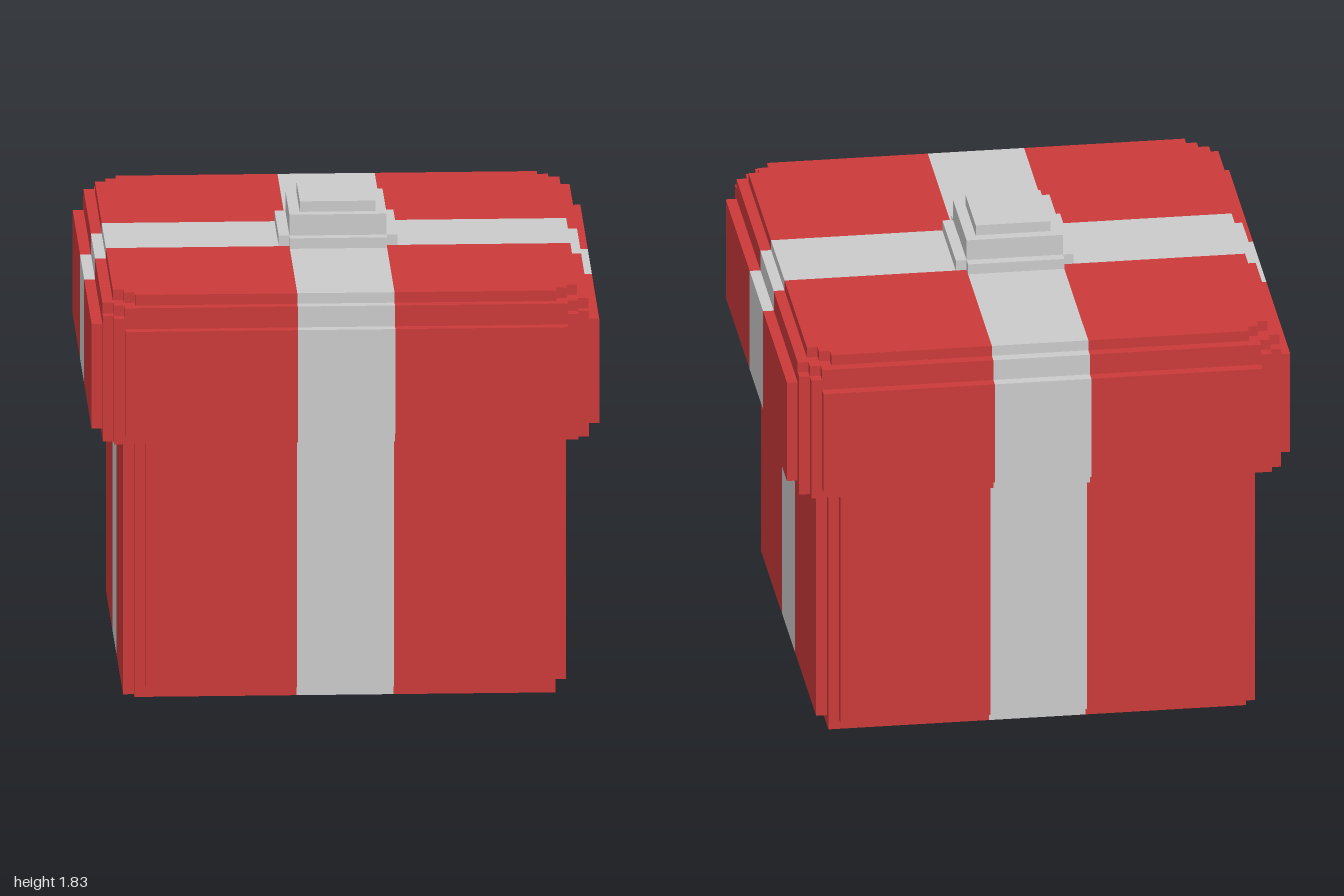
import * as THREE from 'three';

const U = 2 / 47; // one block
const R = 4.5;    // half the ribbon width, in blocks

const red = new THREE.MeshStandardMaterial({ color: 0xca3939 });
red.name = 'red paper';
const silver = new THREE.MeshStandardMaterial({ color: 0xcacaca });
silver.name = 'pale ribbon';

// Upright prism from a plan outline of [x, z] points, in blocks
function prism(name, points, y0, y1, material) {
  const shape = new THREE.Shape(points.map(([x, z]) => new THREE.Vector2(x * U, -z * U)));
  const geometry = new THREE.ExtrudeGeometry(shape, { depth: (y1 - y0) * U, bevelEnabled: false });
  geometry.rotateX(-Math.PI / 2).translate(0, y0 * U, 0);
  const mesh = new THREE.Mesh(geometry, material);
  mesh.name = name;
  return mesh;
}

const rect = (x0, x1, z0, z1) => [[x0, z0], [x1, z0], [x1, z1], [x0, z1]];

// Plus-shaped outline: arms reach a, half width b
const cross = (a, b) => [
  [a, -b], [a, b], [b, b], [b, a], [-b, a], [-b, b],
  [-a, b], [-a, -b], [-b, -b], [-b, -a], [b, -a], [b, -b],
];

// One layer: four red quarters with stepped corners and a ribbon cross between
function addLayer(group, name, y0, y1, steps) {
  const outline = [[R, R], [steps[0][0], R]];
  steps.forEach(([x, z], i) => {
    outline.push([x, z]);
    if (i + 1 < steps.length) outline.push([steps[i + 1][0], z]);
  });
  outline.push([R, steps[steps.length - 1][1]]);
  for (const sx of [-1, 1]) {
    for (const sz of [-1, 1]) {
      group.add(prism(name + 'Quarter', outline.map(([x, z]) => [x * sx, z * sz]), y0, y1, red));
    }
  }
  group.add(prism(name + 'Ribbon', cross(steps[0][0], R), y0, y1, silver));
}

export function createModel() {
  const model = new THREE.Group();
  model.name = 'giftBox';

  // Box body with raised side panels
  const body = new THREE.Group();
  body.name = 'body';
  addLayer(body, 'base', 0, 1, [[19.5, 19.5]]);
  addLayer(body, 'wall', 1, 25, [[20.5, 18.5], [19.5, 19.5], [18.5, 20.5]]);

  // The panel on the -x side reaches the ground
  body.add(prism('panelFoot', rect(-20.5, -19.5, R, 18.5), 0, 1, red));
  body.add(prism('panelFoot', rect(-20.5, -19.5, -18.5, -R), 0, 1, red));
  body.add(prism('panelFootRibbon', rect(-20.5, -19.5, -R, R), 0, 1, silver));

  // Lid, stepped in at its rims and corners
  const lid = new THREE.Group();
  lid.name = 'lid';
  const rim = [[22.5, 21.5], [21.5, 22.5]];
  addLayer(lid, 'lowerRim', 25, 26, rim);
  addLayer(lid, 'lidSide', 26, 36, [[23.5, 20.5], ...rim, [20.5, 23.5]]);
  addLayer(lid, 'upperRim', 36, 37, rim);
  addLayer(lid, 'shoulder', 37, 38, [[22.5, 20.5], [21.5, 21.5], [20.5, 22.5]]);
  addLayer(lid, 'lidTop', 38, 39, [[21.5, 19.5], [20.5, 20.5], [19.5, 21.5]]);

  // Bow knot on top
  const bow = new THREE.Group();
  bow.name = 'bow';
  bow.add(prism('bowBase', cross(5.5, R), 39, 40, silver));
  bow.add(prism('bowMiddle', rect(-R, R, -R, R), 40, 42, silver));
  bow.add(prism('bowTop', rect(-3.5, 3.5, -3.5, 3.5), 42, 43, silver));

  model.add(body, lid, bow);
  return model;
}
